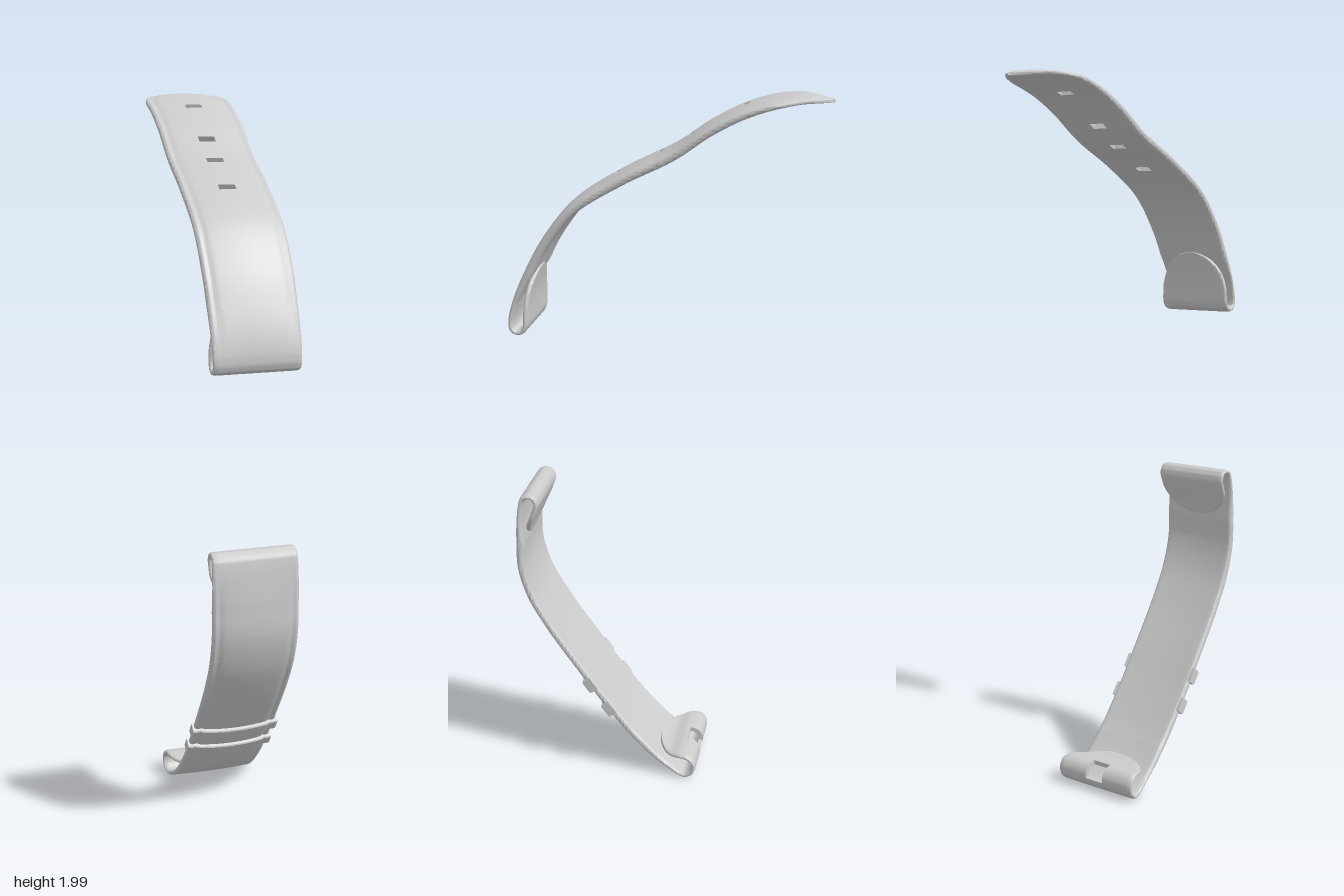
import * as THREE from 'three';
import { toCreasedNormals } from 'three/addons/utils/BufferGeometryUtils.js';

const material = new THREE.MeshStandardMaterial({ color: 0xcccccc });

// Collects quads and turns them into a smooth mesh with sharp creases.
function quadMesh(name, fill) {
  const pos = [];
  fill((a, b, c, d) => [a, b, c, a, c, d].forEach((p) => pos.push(p.x, p.y, p.z)));
  const geo = new THREE.BufferGeometry();
  geo.setAttribute('position', new THREE.Float32BufferAttribute(pos, 3));
  const mesh = new THREE.Mesh(toCreasedNormals(geo, 0.7), material);
  mesh.name = name;
  return mesh;
}

// Side path of a strap; each point is [z, y, thickness, dome, halfWidth] on the outer face.
function makePath(points) {
  const curve = new THREE.CatmullRomCurve3(points.map(([z, y]) => new THREE.Vector3(0, y, z)));
  curve.arcLengthDivisions = 1500;
  const length = curve.getLength();
  const at = (d) => {
    const t = curve.getUtoTmapping(THREE.MathUtils.clamp(d / length, 0, 1));
    const f = t * (points.length - 1);
    const i = Math.min(Math.floor(f), points.length - 2);
    const [thick, dome, half] = [2, 3, 4].map((k) => THREE.MathUtils.lerp(points[i][k], points[i + 1][k], f - i));
    const T = curve.getTangent(t);
    return { c: curve.getPoint(t), n: new THREE.Vector3(0, -T.z, T.y), thick, dome, half };
  };
  // Distance along the path where a coordinate comes closest to a value.
  const find = (axis, value) => {
    let best = 0, err = Infinity;
    for (let d = 0; d < length; d += 0.002) {
      const e = Math.abs(at(d).c[axis] - value);
      if (e < err) { err = e; best = d; }
    }
    return best;
  };
  return { at, find, length };
}

// Padded cross-section: domed centre with a shallow groove beside each edge.
const crown = (s, q) => -s.dome * (q * q + 0.25 * Math.exp(-(((Math.abs(q) - 0.83) / 0.05) ** 2)));
const place = (s, x, h) => new THREE.Vector3(x, s.c.y + s.n.y * h, s.c.z + s.n.z * h);

// Rounded outline at an end of the strap.
const taper = (d, len, power) => (d >= len ? 1 : (1 - (1 - d / len) ** 2) ** power);

function strap(name, path, start, end, holes) {
  const { at, length } = path;
  const rows = [];
  for (let d = 0; d < length; d += 0.007) rows.push(d);
  [0.0005, 0.0015, 0.004].forEach((e) => rows.push(e, length - e));
  rows.push(length);
  holes.forEach((h) => rows.push(h.from, h.to));
  rows.sort((a, b) => a - b);

  const halfQ = [0.1, 0.3, 0.42, 0.54, 0.65, 0.72, 0.77, 0.8, 0.83, 0.86, 0.89, 0.92, 0.95, 0.975, 0.99, 1];
  halfQ.push(holes[0].q);
  halfQ.sort((a, b) => a - b);
  const qs = [...halfQ.map((q) => -q).reverse(), 0, ...halfQ];
  const J = qs.length;

  // Rings run across the outer face and back across the inner one.
  const rings = rows.map((d) => {
    const s = at(d);
    const w = Math.max(0.002, s.half * taper(d, ...start) * taper(length - d, ...end));
    const point = (q, inner) => {
      const a = Math.max(0, (Math.abs(q) - 0.9) / 0.1);
      const round = 0.4 * s.thick * (1 - Math.sqrt(Math.max(0, 1 - a * a)));
      const h = inner ? -s.thick - 0.4 * s.dome * q * q + round : crown(s, q) * (1 - 0.3 * a) - round;
      return place(s, q * w, h);
    };
    return [...qs.map((q) => point(q, false)), ...qs.slice().reverse().map((q) => point(q, true))];
  });

  const open = (i, j) => {
    if (i < 0 || j < 0 || i >= rows.length - 1 || j >= J - 1) return false;
    const d = (rows[i] + rows[i + 1]) / 2, q = Math.abs(qs[j] + qs[j + 1]) / 2;
    return holes.some((h) => d > h.from && d < h.to && q < h.q);
  };

  return quadMesh(name, (quad) => {
    for (let i = 0; i < rows.length - 1; i++) {
      const A = rings[i], B = rings[i + 1];
      for (let k = 0; k < 2 * J; k++) {
        const m = (k + 1) % (2 * J);
        const j = k < J ? k : 2 * J - 2 - k;
        if (k !== J - 1 && k !== 2 * J - 1 && open(i, j)) continue;
        quad(A[k], A[m], B[m], B[k]);
      }
      // Walls of the openings
      for (let j = 0; j < J - 1; j++) {
        if (!open(i, j)) continue;
        const a = 2 * J - 1 - j, b = a - 1;
        if (!open(i, j - 1)) quad(A[j], A[a], B[a], B[j]);
        if (!open(i, j + 1)) quad(B[j + 1], B[b], A[b], A[j + 1]);
        if (!open(i - 1, j)) quad(A[j], A[j + 1], A[b], A[a]);
        if (!open(i + 1, j)) quad(B[a], B[b], B[j + 1], B[j]);
      }
    }
  });
}

// Raised band lying across the outer face and hugging both edges.
function keeper(path, d) {
  const profile = [[-0.021, -0.018], [-0.021, 0.007], [-0.018, 0.01], [0.018, 0.01], [0.021, 0.007], [0.021, -0.018]];
  const N = 24;
  const sections = Array.from({ length: N + 1 }, (_, i) => {
    const q = -1 + (2 * i) / N;
    return profile.map(([o, h]) => {
      const s = path.at(d + o);
      return place(s, q * (s.half + 0.005), crown(s, q) + h);
    });
  });
  return quadMesh('keeperBand', (quad) => {
    for (let i = 0; i < N; i++) {
      const A = sections[i], B = sections[i + 1];
      A.forEach((_, k) => {
        const m = (k + 1) % A.length;
        quad(A[k], B[k], B[m], A[m]);
      });
    }
    const [a, b] = [sections[0], sections[N]];
    for (const [k, l, m, n] of [[0, 1, 4, 5], [1, 2, 3, 4]]) {
      quad(a[k], a[l], a[m], a[n]);
      quad(b[n], b[m], b[l], b[k]);
    }
  });
}

export function createModel() {
  const model = new THREE.Group();
  model.name = 'watchStrap';

  // Upper strap: flap, pin loop, then the long run to the pointed tip
  const upper = makePath([
    [0.341, 1.53, 0.012, 0, 0.112], [0.355, 1.47, 0.013, 0, 0.113], [0.36, 1.42, 0.013, 0, 0.114],
    [0.362, 1.385, 0.013, 0, 0.115], [0.371, 1.366, 0.013, 0, 0.115], [0.39, 1.358, 0.013, 0, 0.115],
    [0.41, 1.368, 0.013, 0, 0.115], [0.416, 1.39, 0.013, 0.001, 0.115], [0.405, 1.45, 0.014, 0.004, 0.116],
    [0.372, 1.535, 0.026, 0.008, 0.117], [0.326, 1.619, 0.026, 0.01, 0.118], [0.246, 1.714, 0.026, 0.01, 0.118],
    [0.114, 1.797, 0.026, 0.01, 0.118], [-0.02, 1.864, 0.026, 0.01, 0.118], [-0.125, 1.933, 0.025, 0.01, 0.118],
    [-0.23, 1.98, 0.022, 0.01, 0.118], [-0.337, 1.998, 0.015, 0.008, 0.118], [-0.428, 1.988, 0.009, 0.003, 0.118],
  ]);
  const holes = [-0.205, -0.065, 0.015, 0.13].map((z) => {
    const d = upper.find('z', z);
    return { from: d - 0.01, to: d + 0.01, q: 0.19 };
  });
  model.add(strap('upperStrap', upper, [0.12, 0.5], [0.17, 1], holes));

  // Lower strap: buckle flap and loop, the curved run, then the pin loop and its flap
  const lower = makePath([
    [0.015, 0.085, 0.012, 0, 0.118], [-0.025, 0.077, 0.013, 0, 0.12], [-0.062, 0.083, 0.013, 0, 0.127],
    [-0.092, 0.075, 0.013, 0, 0.132], [-0.106, 0.05, 0.013, 0, 0.132], [-0.098, 0.022, 0.013, 0, 0.132],
    [-0.07, 0.006, 0.013, 0.001, 0.128], [-0.01, 0.032, 0.016, 0.004, 0.12], [0.077, 0.1, 0.026, 0.01, 0.118],
    [0.167, 0.206, 0.026, 0.012, 0.118], [0.263, 0.339, 0.026, 0.012, 0.118], [0.342, 0.455, 0.026, 0.012, 0.118],
    [0.4, 0.56, 0.026, 0.012, 0.118], [0.427, 0.656, 0.026, 0.012, 0.118], [0.427, 0.735, 0.026, 0.01, 0.118],
    [0.42, 0.8, 0.016, 0.004, 0.117], [0.412, 0.85, 0.013, 0.001, 0.116], [0.403, 0.878, 0.013, 0, 0.115],
    [0.383, 0.888, 0.013, 0, 0.115], [0.362, 0.882, 0.013, 0, 0.115], [0.352, 0.86, 0.013, 0, 0.115],
    [0.362, 0.825, 0.013, 0, 0.114], [0.381, 0.78, 0.013, 0, 0.113], [0.394, 0.74, 0.012, 0, 0.112],
  ]);
  const notch = { from: 0.085, to: 0.15, q: 0.23 };
  model.add(strap('lowerStrap', lower, [0.075, 0.5], [0.09, 0.5], [notch]));

  // Pair of raised bands near the buckle end
  for (const y of [0.283, 0.207]) model.add(keeper(lower, lower.find('y', y)));

  return model;
}
